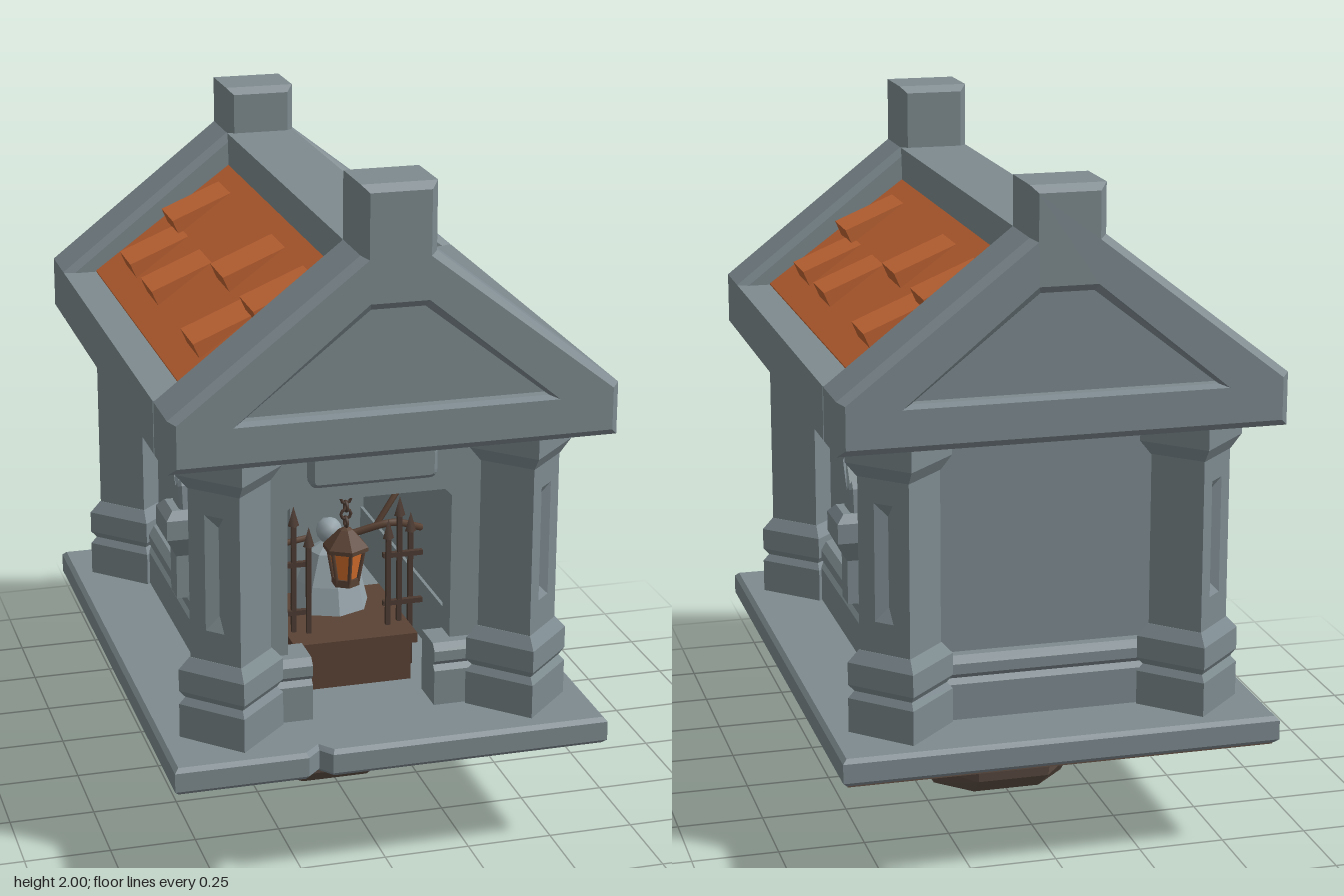
import * as THREE from 'three';

const mat = (name, color) => {
  const m = new THREE.MeshStandardMaterial({ color });
  m.name = name;
  return m;
};

export function createModel() {
  const stone = mat('stone', 0x7d8a8f);
  const paleStone = mat('pale stone', 0x94a2a8);
  const orange = mat('orange tile', 0xc06433);
  const earth = mat('earth', 0x5f4f45);
  const wood = mat('dark wood', 0x5a4234);
  const iron = mat('iron', 0x4c3a31);
  const glow = mat('lantern glass', 0xd8702c);
  const root = new THREE.Group();
  root.name = 'shrine';

  const add = (parent, name, geo, material, x = 0, y = 0, z = 0) => {
    const m = new THREE.Mesh(geo, material);
    m.name = name;
    m.position.set(x, y, z);
    parent.add(m);
    return m;
  };
  const group = (name, parent = root) => {
    const g = new THREE.Group();
    g.name = name;
    parent.add(g);
    return g;
  };
  const flat = (geo) => {
    const g = geo.index ? geo.toNonIndexed() : geo;
    g.computeVertexNormals();
    return g;
  };
  const box = (w, h, d) => new THREE.BoxGeometry(w, h, d);
  const shapeOf = (pts) => new THREE.Shape(pts.map(([x, y]) => new THREE.Vector2(x, y)));
  const extrude = (shape, depth, bevel = 0) => {
    const g = new THREE.ExtrudeGeometry(shape, {
      depth: depth - 2 * bevel, bevelEnabled: bevel > 0, bevelSize: bevel,
      bevelThickness: bevel, bevelOffset: -bevel, bevelSegments: 1, curveSegments: 4,
    });
    return g.translate(0, 0, bevel);
  };
  // four-sided turned shape with its corners on the x and z axes
  const turned = (pts, sides = 4) =>
    flat(new THREE.LatheGeometry(pts.map(([r, y]) => new THREE.Vector2(r, y)), sides));
  const tube = (pts, r) => new THREE.TubeGeometry(
    new THREE.CatmullRomCurve3(pts.map((p) => new THREE.Vector3(...p))), 14, r, 6);

  // Rock under the floor, lofted from octagonal rings
  const plan = [[1, 0.55], [0.5, 1], [-0.5, 1], [-1, 0.55], [-1, -0.55], [-0.5, -1], [0.5, -1], [1, -0.55]];
  const rings = [[0.245, 0.35, 0.32], [0.215, 0.305, 0.065], [0.2, 0.22, 0]];
  const pos = [];
  const at = (r, i) => [plan[i % 8][0] * r[0], r[2], plan[i % 8][1] * r[1]];
  for (let i = 0; i < 8; i++) {
    for (let k = 0; k < 2; k++) {
      const a = at(rings[k], i), b = at(rings[k], i + 1), c = at(rings[k + 1], i + 1), d = at(rings[k + 1], i);
      pos.push(...a, ...b, ...c, ...a, ...c, ...d);
    }
    pos.push(0, 0, 0, ...at(rings[2], i), ...at(rings[2], i + 1));
  }
  // plan runs clockwise from above, so turn every triangle outward
  for (let t = 0; t < pos.length; t += 9) {
    const b = pos.slice(t + 3, t + 6);
    for (let j = 0; j < 3; j++) { pos[t + 3 + j] = pos[t + 6 + j]; pos[t + 6 + j] = b[j]; }
  }
  const rock = new THREE.BufferGeometry();
  rock.setAttribute('position', new THREE.Float32BufferAttribute(pos, 3));
  rock.computeVertexNormals();
  earth.side = THREE.DoubleSide;
  add(root, 'rock', rock, earth);

  // Floor: square frame below, notched slab above
  const frame = shapeOf([[-0.42, -0.42], [0.42, -0.42], [0.42, 0.42], [-0.42, 0.42]]);
  frame.holes.push(shapeOf([[-0.36, -0.36], [-0.36, 0.36], [0.36, 0.36], [0.36, -0.36]]));
  add(root, 'lowerFrame', extrude(frame, 0.105, 0.01), stone, 0, 0.217).rotation.x = -Math.PI / 2;
  const slab = shapeOf([[-0.63, -0.84], [-0.25, -0.84], [-0.21, -0.8], [-0.18, -0.84],
    [0.63, -0.84], [0.63, 0.84], [-0.63, 0.84]]);
  add(root, 'floorSlab', extrude(slab, 0.08, 0.012), stone, 0, 0.32).rotation.x = -Math.PI / 2;
  add(root, 'undersidePatch', box(1.23, 0.006, 0.62), earth, 0, 0.318, -0.515);

  // Walls with a doorway in front
  const front = shapeOf([[-0.36, 0.4], [-0.24, 0.4], [-0.24, 1.02], [-0.22, 1.04], [0.22, 1.04],
    [0.24, 1.02], [0.24, 0.4], [0.36, 0.4], [0.36, 1.25], [-0.36, 1.25]]);
  add(root, 'frontWall', extrude(front, 0.07), stone, 0, 0, 0.505);
  add(root, 'backWall', box(0.72, 0.85, 0.07), stone, 0, 0.825, -0.54);
  for (const s of [-1, 1]) add(root, 'sideWall', box(0.06, 0.85, 1.14), stone, s * 0.33, 0.825, 0);

  // Moulded plinth: u points out of the wall
  const plinth = (len, x, z, turn) => {
    const p = shapeOf([[-0.07, 0.4], [0.05, 0.4], [0.05, 0.505], [0.035, 0.52], [0.05, 0.535],
      [0.05, 0.565], [0.03, 0.585], [-0.07, 0.585]]);
    const g = extrude(p, len).translate(0, 0, -len / 2);
    add(root, 'plinth', g, stone, x, 0, z).rotation.y = turn;
  };
  plinth(1.2, 0.36, 0, 0);
  plinth(1.2, -0.36, 0, Math.PI);
  plinth(0.76, 0, -0.575, Math.PI / 2);
  for (const s of [-1, 1]) plinth(0.2, s * 0.28, 0.575, -Math.PI / 2);

  // Corner pillars, each with a V groove in its outward face
  const w = 0.164, panelT = 0.025, gw = 0.03, gh = 0.17, tip = 0.13;
  const panel = shapeOf([[-w / 2, 0.6], [w / 2, 0.6], [w / 2, 1.2], [-w / 2, 1.2]]);
  panel.holes.push(shapeOf([[-gw, 0.9 - gh], [-gw, 0.9 + gh], [gw, 0.9 + gh], [gw, 0.9 - gh]]));
  const panelGeo = extrude(panel, panelT);
  const A = [-gw, -gh, 0], B = [gw, -gh, 0], C = [gw, gh, 0], D = [-gw, gh, 0];
  const S = [0, -tip, -panelT], T = [0, tip, -panelT];
  const groove = new THREE.BufferGeometry();
  groove.setAttribute('position', new THREE.Float32BufferAttribute(
    [A, S, T, A, T, D, S, B, C, S, C, T, A, B, S, T, C, D].flat(), 3));
  groove.computeVertexNormals();
  for (const sx of [-1, 1]) for (const sz of [-1, 1]) {
    const p = group('cornerPillar');
    p.position.set(sx * 0.42, 0, sz * 0.635);
    add(p, 'pillarBase', turned([[0, 0.4], [0.15, 0.4], [0.15, 0.5], [0.132, 0.52], [0.15, 0.54],
      [0.15, 0.605], [0.118, 0.64], [0, 0.64]]), stone);
    add(p, 'pillarCapital', turned([[0, 1.14], [0.118, 1.14], [0.15, 1.18], [0.15, 1.25], [0, 1.25]]), stone);
    const shaft = group('pillarShaft', p);
    shaft.rotation.y = Math.atan2(sx, sz);
    add(shaft, 'shaftCore', box(w, 0.6, w - panelT), stone, 0, 0.9, -panelT / 2);
    add(shaft, 'shaftPanel', panelGeo, stone, 0, 0, w / 2 - panelT);
    add(shaft, 'shaftGroove', groove, stone, 0, 0.9, w / 2);
  }

  // Gables with a sunk panel and a square finial
  const hole = [[-0.43, 1.38], [-0.075, 1.66], [0.075, 1.66], [0.43, 1.38]];
  const gable = (top) => {
    const g = shapeOf([[-0.63, 1.25], [0.63, 1.25], [0.63, 1.4], [0.105, 1.81], [0.105, top],
      [-0.105, top], [-0.105, 1.81], [-0.63, 1.4]]);
    g.holes.push(shapeOf(hole));
    return extrude(g, 0.205, 0.02);
  };
  for (const [name, top, turn] of [['frontGable', 2, 0], ['backGable', 1.95, Math.PI]]) {
    const g = group(name);
    g.rotation.y = turn;
    add(g, 'gableFrame', gable(top), stone, 0, 0, 0.635);
    add(g, 'gablePanel', extrude(shapeOf([...hole].reverse()), 0.155), stone, 0, 0, 0.636);
  }

  // Roof body between the gables
  const half = [[0.63, 1.25], [0.63, 1.4], [0.53, 1.4], [0.105, 1.705], [0.105, 1.81]];
  const roof = shapeOf([...half, ...half.map(([x, y]) => [-x, y]).reverse()]);
  add(root, 'roofBody', extrude(roof, 1.29), stone, 0, 0, -0.645);

  // Each side: tiled slope and wall ornament; the far side is turned half round
  const slope = extrude(shapeOf([[0.105, 1.702], [0.53, 1.397], [0.53, 1.404], [0.105, 1.712]]), 1.27);
  const tile = extrude(shapeOf([[0.14, 1.683], [0.31, 1.55], [0.333, 1.603]]), 0.154);
  const bird = extrude(shapeOf([[0.055, 0.83], [0.04, 0.92], [0.025, 0.94], [0.0, 0.92], [-0.055, 1.0],
    [-0.035, 0.925], [-0.05, 0.83]]), 0.06, 0.01);
  for (const turn of [0, Math.PI]) {
    const side = group('roofAndWallSide');
    side.rotation.y = turn;
    add(side, 'tiledSlope', slope, orange, 0, 0, -0.635);
    for (const z of [-0.495, -0.15, 0.495]) add(side, 'upperTile', tile, orange, 0, 0, z - 0.077);
    for (const z of [-0.405, 0.125, 0.427]) add(side, 'lowerTile', tile, orange, 0.147, -0.107, z - 0.077);
    const o = group('wallOrnament', side);
    o.position.x = 0.4;
    add(o, 'ornamentPost', box(0.08, 0.17, 0.08), stone, 0, 0.65, 0);
    const cup = turned([[0, 0.7], [0.057, 0.7], [0.106, 0.765], [0.106, 0.825], [0.075, 0.85], [0, 0.85]]);
    add(o, 'ornamentCup', cup.rotateY(Math.PI / 4), stone);
    add(o, 'ornamentTop', bird, stone, -0.03, 0, 0).rotation.y = 0;
    o.children[2].geometry = bird.clone().rotateY(Math.PI / 2);
  }

  // Rounded plaque above the door
  const plaque = new THREE.Shape();
  const pw = 0.185, ph = 0.05, r = 0.025;
  plaque.moveTo(-pw + r, -ph).lineTo(pw - r, -ph).quadraticCurveTo(pw, -ph, pw, -ph + r)
    .lineTo(pw, ph - r).quadraticCurveTo(pw, ph, pw - r, ph).lineTo(-pw + r, ph)
    .quadraticCurveTo(-pw, ph, -pw, ph - r).lineTo(-pw, -ph + r).quadraticCurveTo(-pw, -ph, -pw + r, -ph);
  add(root, 'plaque', extrude(plaque, 0.05, 0.012), stone, 0, 1.142, 0.57);

  // Interior: chest, statue and its backing column
  add(root, 'chest', box(0.34, 0.12, 0.36), wood, 0, 0.46, 0.25);
  add(root, 'chestLid', box(0.37, 0.03, 0.39), wood, 0, 0.535, 0.25);
  add(root, 'innerColumn', box(0.16, 0.85, 0.1), stone, 0, 0.825, -0.05);
  add(root, 'statueBody', turned([[0, 0.55], [0.12, 0.55], [0.1, 0.63], [0.06, 0.72], [0, 0.76]], 8), paleStone, 0, 0, 0.15);
  add(root, 'statueHead', new THREE.IcosahedronGeometry(0.04, 1), paleStone, 0, 0.78, 0.15);

  // Iron fence and bare branches
  for (const s of [-1, 1]) {
    const f = group('fence');
    [0.12, 0.16, 0.2].forEach((x, i) => {
      const h = 0.42 + i % 2 * 0.06;
      add(f, 'fenceBar', box(0.014, h, 0.014), iron, s * x, 0.4 + h / 2, 0.36 - i * 0.02);
      add(f, 'fenceTip', new THREE.ConeGeometry(0.017, 0.06, 4), iron, s * x, 0.43 + h, 0.36 - i * 0.02);
    });
    for (const y of [0.61, 0.76]) add(f, 'fenceRail', box(0.12, 0.015, 0.015), iron, s * 0.17, y, 0.34);
  }
  add(root, 'branch', tube([[-0.27, 1.08, 0.2], [-0.17, 1.01, 0.22], [-0.08, 0.95, 0.2]], 0.014), wood);
  add(root, 'branch', tube([[0.27, 0.78, 0.2], [0.17, 0.82, 0.24], [0.05, 0.79, 0.22]], 0.011), wood);
  add(root, 'branch', tube([[0.12, 0.81, 0.23], [0.17, 0.88, 0.22], [0.22, 0.94, 0.2]], 0.009), wood);
  add(root, 'branch', tube([[-0.26, 0.72, 0.2], [-0.17, 0.78, 0.23], [-0.09, 0.79, 0.22]], 0.009), wood);

  // Hanging lantern
  const l = group('lantern');
  l.position.z = 0.33;
  add(l, 'lanternBeam', box(0.05, 0.05, 0.36), wood, 0, 0.985, -0.17);
  add(l, 'lanternBracket', box(0.07, 0.05, 0.07), wood, 0, 0.985);
  for (let i = 0; i < 4; i++) {
    add(l, 'chainLink', new THREE.TorusGeometry(0.015, 0.005, 5, 8), iron, 0, 0.945 - i * 0.024).rotation.y = i * Math.PI / 2;
  }
  add(l, 'lanternCap', turned([[0.068, 0.8], [0.02, 0.85], [0, 0.86]], 6), wood);
  add(l, 'lanternCapBase', turned([[0, 0.788], [0.068, 0.788], [0.068, 0.8], [0, 0.8]], 6), wood);
  add(l, 'lanternGlass', turned([[0, 0.7], [0.034, 0.7], [0.052, 0.79], [0, 0.79]], 6), glow);
  add(l, 'lanternFoot', turned([[0, 0.68], [0.042, 0.68], [0.042, 0.702], [0, 0.702]], 6), wood);
  for (let i = 0; i < 6; i++) {
    const a = i * Math.PI / 3, c = Math.cos(a), s = Math.sin(a);
    add(l, 'lanternRib', tube([[s * 0.036, 0.69, c * 0.036], [s * 0.054, 0.79, c * 0.054]], 0.006), wood);
  }
  return root;
}
